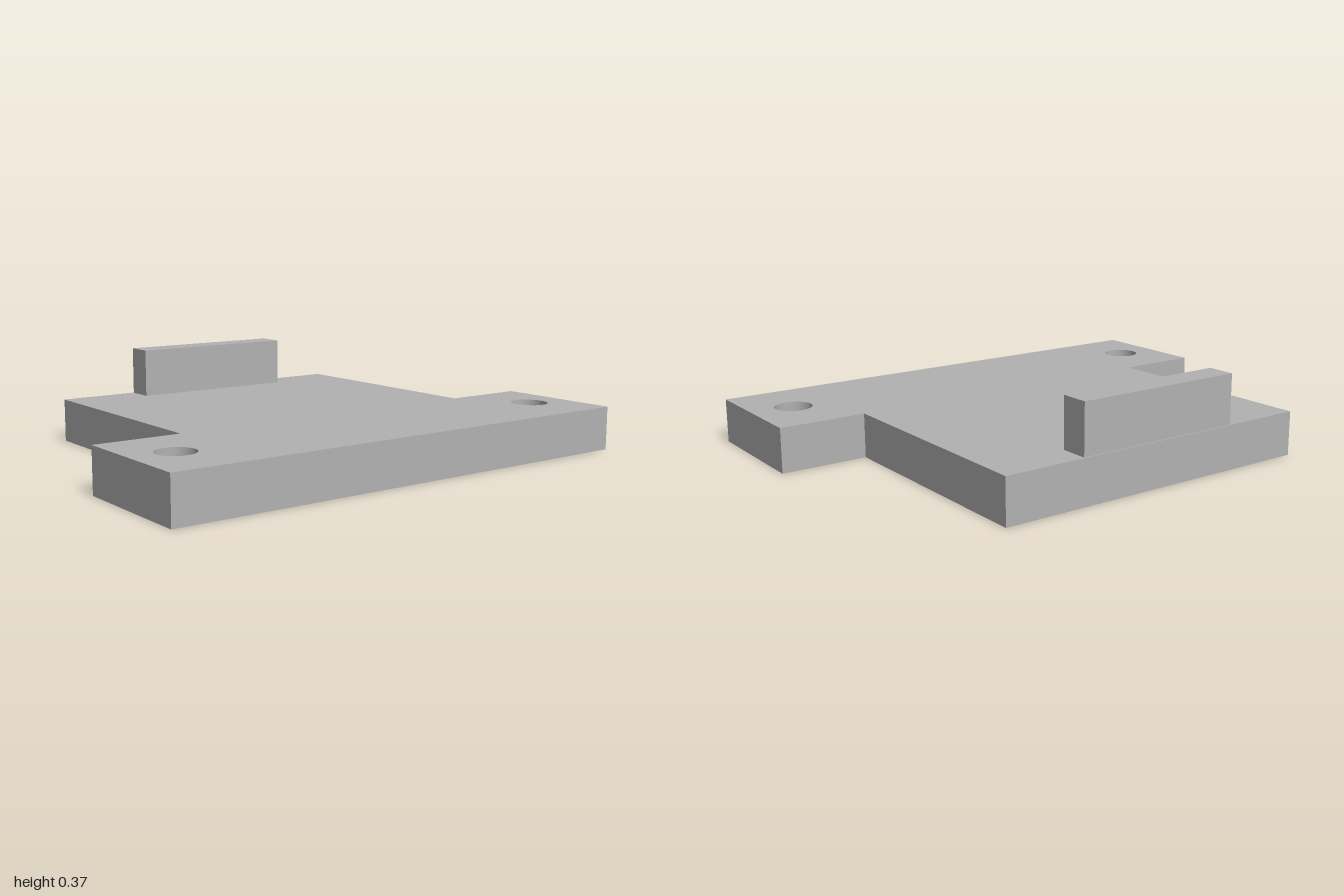
import * as THREE from 'three';

export function createModel() {
  const model = new THREE.Group();
  const grey = new THREE.MeshStandardMaterial({ color: 0xb2b2b2 });
  grey.name = 'grey';

  const thickness = 0.173;
  const back = -0.725, front = 0.725, shoulder = 0.21;
  const bodyHalf = 0.66, flangeHalf = 1;

  // T-shaped base plate with two through holes
  const outline = new THREE.Shape([
    [back, -bodyHalf], [shoulder, -bodyHalf], [shoulder, -flangeHalf], [front, -flangeHalf],
    [front, flangeHalf], [shoulder, flangeHalf], [shoulder, bodyHalf], [back, bodyHalf],
  ].map(([x, y]) => new THREE.Vector2(x, y)));
  for (const side of [-1, 1]) {
    outline.holes.push(new THREE.Path().absarc(0.467, side * 0.83, 0.073, 0, Math.PI * 2, true));
  }
  const plateGeometry = new THREE.ExtrudeGeometry(outline, {
    depth: thickness, bevelEnabled: false, curveSegments: 32,
  });
  plateGeometry.rotateX(-Math.PI / 2);
  const plate = new THREE.Mesh(plateGeometry, grey);
  plate.name = 'mountingPlate';
  model.add(plate);

  // Upright stop rib along the narrow end
  const ribHeight = 0.192;
  const rib = new THREE.Mesh(new THREE.BoxGeometry(0.11, ribHeight, 0.68), grey);
  rib.name = 'stopRib';
  rib.position.set(-0.665, thickness + ribHeight / 2, 0);
  model.add(rib);

  return model;
}
